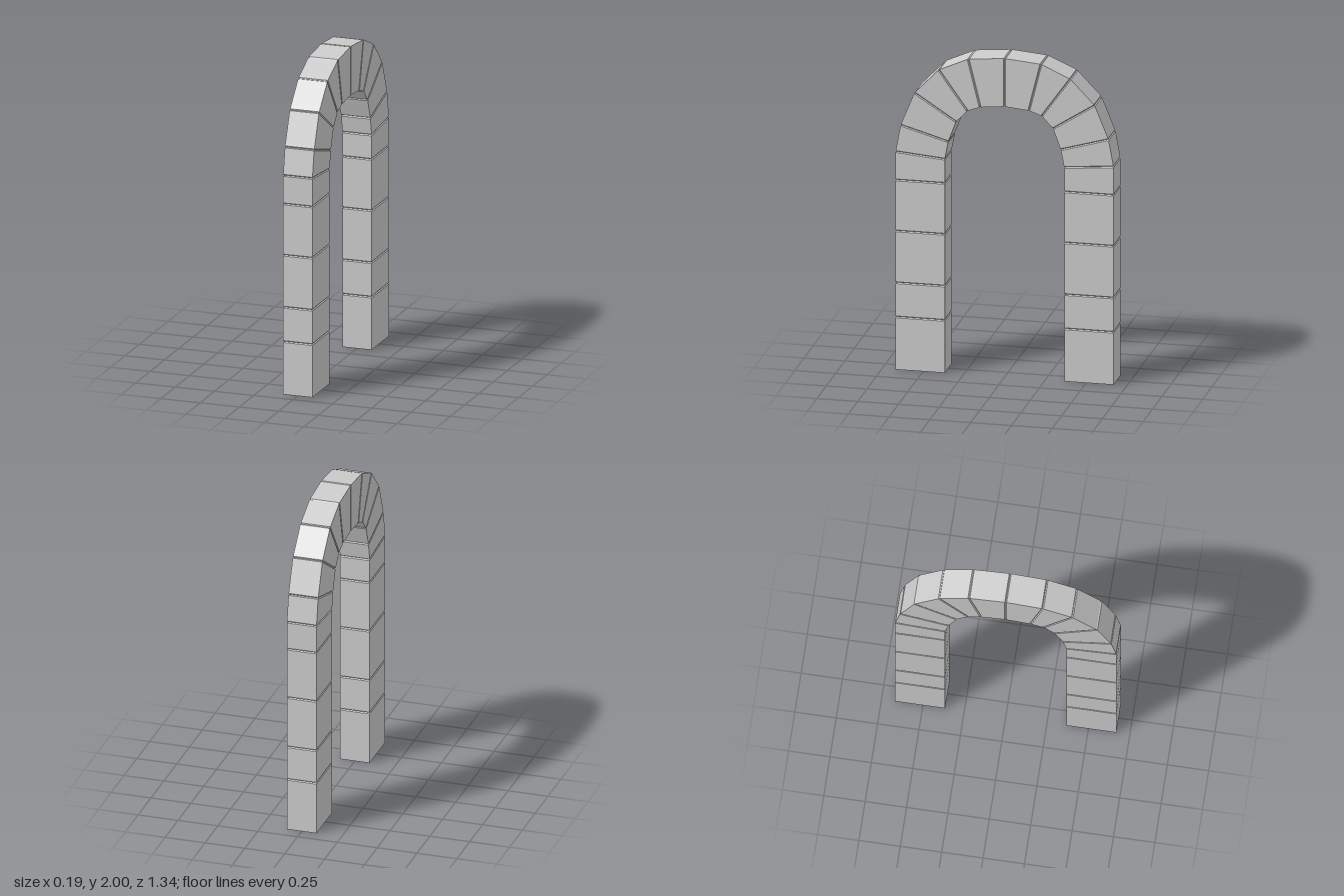
import * as THREE from 'three';

const HALF_DEPTH = 0.093; // half thickness of the arch along x
const GROOVE = 0.006;     // half width and depth of the joints

// Joints of one half, from the foot to the crown: outer z, outer y, inner z, inner y
const half = [
  ...[0, 0.33, 0.545, 0.87, 1.19].map((y) => [0.668, y, 0.366, y]),
  [0.668, 1.368, 0.366, 1.342],
  [0.637, 1.537, 0.345, 1.453],
  [0.552, 1.745, 0.297, 1.581],
  [0.403, 1.9, 0.228, 1.655],
  [0.223, 1.98, 0.149, 1.683],
  [0, 2, 0, 1.698],
];
const mirrored = half.slice(0, -1).reverse().map(([oz, oy, iz, iy]) => [-oz, oy, -iz, iy]);
const joints = [...half, ...mirrored];

// Four corners of a cross-section, shrunk by inset on every side
function ring([oz, oy, iz, iy], inset) {
  const outer = new THREE.Vector2(oz, oy);
  const inner = new THREE.Vector2(iz, iy);
  const step = outer.clone().sub(inner).setLength(inset);
  outer.sub(step);
  inner.add(step);
  const x = HALF_DEPTH - inset;
  return [[x, outer], [-x, outer], [-x, inner], [x, inner]].map(([px, p]) => [px, p.y, p.x]);
}

// Section moved from joint a towards joint b by the groove width
function shifted(a, b) {
  const move = (k) => {
    const t = GROOVE / Math.hypot(b[k] - a[k], b[k + 1] - a[k + 1]);
    return [a[k] + (b[k] - a[k]) * t, a[k + 1] + (b[k + 1] - a[k + 1]) * t];
  };
  return [...move(0), ...move(2)];
}

// Hollow block with bevelled joint edges; the feet end square and open
function blockGeometry(a, b, isFirst, isLast) {
  const rings = [
    ring(a, isFirst ? 0 : GROOVE),
    ring(shifted(a, b), 0),
    ring(shifted(b, a), 0),
    ring(b, isLast ? 0 : GROOVE),
  ];
  const positions = [];
  for (let i = 0; i < 3; i++) {
    for (let j = 0; j < 4; j++) {
      const k = (j + 1) % 4;
      const [p, q, r, s] = [rings[i][k], rings[i][j], rings[i + 1][j], rings[i + 1][k]];
      positions.push(...p, ...q, ...r, ...p, ...r, ...s);
    }
  }
  const geometry = new THREE.BufferGeometry();
  geometry.setAttribute('position', new THREE.Float32BufferAttribute(positions, 3));
  geometry.computeVertexNormals();
  return geometry;
}

export function createModel() {
  const arch = new THREE.Group();
  arch.name = 'stoneArch';
  const stone = new THREE.MeshStandardMaterial({
    color: 0xcccccc, flatShading: true, side: THREE.DoubleSide,
  });
  const parts = {};
  for (const name of ['frontPillar', 'archRing', 'backPillar']) {
    parts[name] = new THREE.Group();
    parts[name].name = name;
    arch.add(parts[name]);
  }

  // Five blocks per pillar, ten wedge stones between them
  const count = joints.length - 1;
  for (let i = 0; i < count; i++) {
    const geometry = blockGeometry(joints[i], joints[i + 1], i === 0, i === count - 1);
    const block = new THREE.Mesh(geometry, stone);
    const part = i < 5 ? 'frontPillar' : i < count - 5 ? 'archRing' : 'backPillar';
    block.name = part === 'archRing' ? 'wedgeStone' : 'pillarBlock';
    parts[part].add(block);
  }
  return arch;
}
